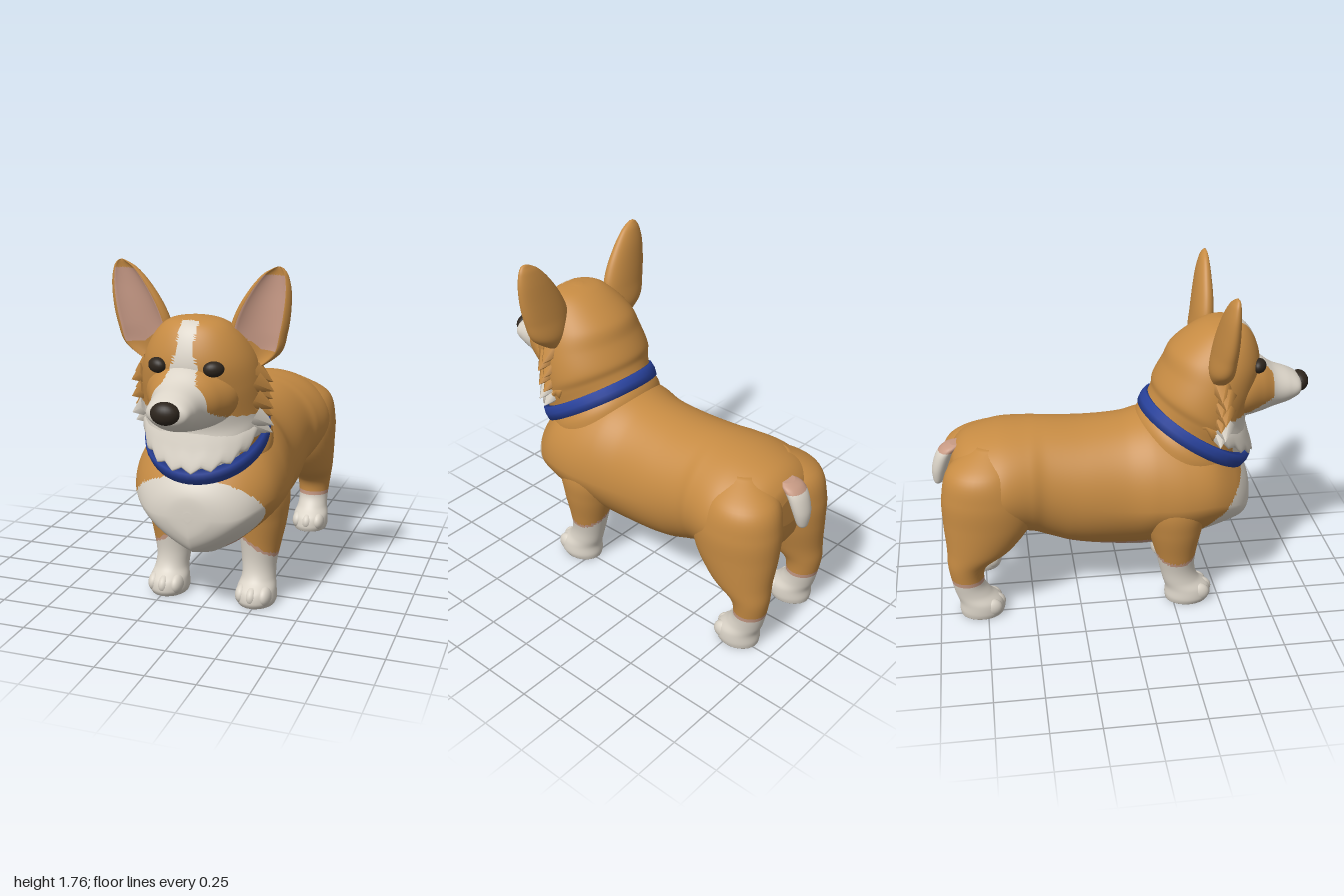
import * as THREE from 'three';

const paint = (name, color) => {
  const m = new THREE.MeshStandardMaterial({ color });
  m.name = name;
  return m;
};
const TAN = 0, WHITE = 1, PINK = 2, EAR = 3, BLUE = 4, DARK = 5;

// Smooth interpolation of one row of numbers between its neighbours
function blend(rows, i, f) {
  const at = k => rows[Math.max(0, Math.min(rows.length - 1, k))];
  const [p, a, b, n] = [at(i - 1), at(i), at(i + 1), at(i + 2)];
  return a.map((v, k) => v + 0.5 * f * (b[k] - p[k] + f * (2 * p[k] - 5 * v + 4 * b[k] - n[k]
    + f * (3 * (v - b[k]) + n[k] - p[k]))));
}

// Skin closed rings through the rows; pick(x, y, z, angle) chooses each face's colour
function loft(rows, ring, pick, seg = 48, steps = 8) {
  const pos = [], tris = [], count = (rows.length - 1) * steps + 1;
  for (let r = 0; r < count; r++) {
    const i = Math.min(Math.floor(r / steps), rows.length - 2);
    const row = blend(rows, i, r / steps - i);
    for (let j = 0; j < seg; j++) {
      const a = (j / seg) * Math.PI * 2;
      pos.push(...ring(row, Math.cos(a), Math.sin(a)));
    }
  }
  for (const r of [0, count - 1]) {
    const c = [0, 0, 0];
    for (let j = 0; j < seg; j++) for (let k = 0; k < 3; k++) c[k] += pos[(r * seg + j) * 3 + k] / seg;
    pos.push(...c);
  }
  const first = count * seg;
  for (let j = 0; j < seg; j++) {
    const k = (j + 1) % seg, last = (count - 1) * seg;
    for (let r = 0; r < count - 1; r++) {
      const o = r * seg, u = o + seg;
      tris.push([o + j, u + j, u + k, j], [o + j, u + k, o + k, j]);
    }
    tris.push([first, j, k, j], [first + 1, last + k, last + j, j]);
  }
  // Turn the faces outward whichever way the rings run
  const P = i => new THREE.Vector3().fromArray(pos, i * 3);
  const volume = tris.reduce((s, [a, b, c]) => s + P(a).dot(P(b).cross(P(c))), 0);
  const buckets = [[], [], [], [], [], []];
  for (const [a, b, c, j] of tris) {
    const m = P(a).add(P(b)).add(P(c)).divideScalar(3);
    buckets[pick(m.x, m.y, m.z, ((j + 0.5) / seg) * Math.PI * 2)].push(a, ...(volume > 0 ? [b, c] : [c, b]));
  }
  const g = new THREE.BufferGeometry();
  g.setAttribute('position', new THREE.Float32BufferAttribute(pos, 3));
  g.setIndex(buckets.flat());
  let start = 0;
  buckets.forEach((t, m) => { if (t.length) g.addGroup(start, t.length, m); start += t.length; });
  g.computeVertexNormals();
  return g;
}

// Colour rules for the coat
function chestColour(x, y, z) {
  if (z > 0.38 + Math.max(0, y - 0.35) * 0.5 + Math.max(0, y - 0.5) * 0.25) return WHITE;
  const edge = 0.295 + Math.max(0, -z - 0.15) * 0.25;
  if (z < -0.46 || y > edge + 0.05) return TAN;
  return y < edge ? WHITE : PINK;
}
function faceColour(x, y, z) {
  if (y < 0.925 - (z - 0.39) * 0.61) return chestColour(x, y, z);
  if (y < 1.06) return z > 0.5 + Math.max(0, 1 - y) * 0.45 ? WHITE : TAN;
  const blaze = 0.042 + Math.max(0, 1.38 - y) * 0.3 + Math.max(0, 1.16 - y) * 0.5;
  return z > 0.785 || (z > 0.61 && Math.abs(x) < blaze) ? WHITE : TAN;
}

export function createModel() {
  const dog = new THREE.Group();
  dog.name = 'dog';
  const mats = [
    paint('tan coat', 0xc68b43), paint('white coat', 0xdad3c7), paint('pale pink skin', 0xc79a84),
    paint('inner ear', 0xc99b87), paint('collar blue', 0x28419a), paint('dark brown', 0x2d251d),
  ];
  const add = (name, geo, mat = mats) => {
    const m = new THREE.Mesh(geo, mat);
    m.name = name;
    dog.add(m);
    return m;
  };
  const ball = (name, mat, x, y, z, rx, ry, rz) => {
    const m = add(name, new THREE.SphereGeometry(1, 24, 16), mats[mat]);
    m.position.set(x, y, z);
    m.scale.set(rx, ry, rz);
    return m;
  };

  // Torso and muzzle: upright rings of [z, top, bottom, half width]
  const upright = ([z, top, low, w], c, s) => [w * c, (top + low) / 2 + (top - low) / 2 * s, z];
  // The brisket narrows to a keel between the forelegs
  const keeled = (row, c, s) => {
    const k = 0.5 * THREE.MathUtils.clamp((row[0] + 0.3) / 0.45, 0, 1);
    return upright(row, c, s < 0 ? s * (1 - k) - k * (1 - Math.abs(c)) : s);
  };
  add('torso', loft([
    [-0.9, 0.82, 0.66, 0.12], [-0.875, 0.89, 0.54, 0.24], [-0.8, 0.95, 0.46, 0.325], [-0.65, 0.99, 0.42, 0.365],
    [-0.5, 1.0, 0.4, 0.342], [-0.4, 1.0, 0.355, 0.322], [-0.2, 0.99, 0.28, 0.335], [0, 1.0, 0.225, 0.345],
    [0.15, 1.03, 0.205, 0.375], [0.3, 1.01, 0.23, 0.39], [0.45, 0.96, 0.282, 0.37], [0.57, 0.84, 0.33, 0.305],
    [0.645, 0.735, 0.365, 0.22], [0.683, 0.66, 0.435, 0.12], [0.691, 0.58, 0.53, 0.02],
  ], keeled, chestColour, 84, 14));
  add('muzzle', loft([
    [0.5, 1.3, 1.0, 0.24], [0.62, 1.32, 0.99, 0.228], [0.72, 1.305, 1.0, 0.178], [0.8, 1.255, 1.02, 0.132],
    [0.88, 1.225, 1.045, 0.115], [0.935, 1.195, 1.08, 0.098], [0.955, 1.165, 1.11, 0.05],
  ], upright, faceColour, 64, 10));
  ball('nose', DARK, 0, 1.147, 0.952, 0.07, 0.054, 0.048);

  // Neck and skull: tilted rings of [y, z, half width, half depth, tilt]
  const tilted = ([y, z, w, d, t], c, s) => [w * c, y - d * s * Math.sin(t), z + d * s * Math.cos(t)];
  add('neckAndHead', loft([
    [0.72, 0.3, 0.31, 0.3, 0.55], [0.85, 0.35, 0.315, 0.315, 0.55], [0.925, 0.39, 0.29, 0.305, 0.55],
    [1.02, 0.415, 0.305, 0.285, 0.47], [1.1, 0.415, 0.315, 0.265, 0.4], [1.23, 0.46, 0.3, 0.25, 0.25],
    [1.34, 0.49, 0.268, 0.235, 0.15], [1.44, 0.52, 0.205, 0.17, 0.08], [1.5, 0.53, 0.13, 0.1, 0],
    [1.52, 0.53, 0.02, 0.02, 0],
  ], tilted, faceColour, 72, 10));

  // White ruff with a toothed lower edge in front: the last number is the tooth size
  const ruff = ([y, z, w, d, t, jag], c, s) => {
    const tooth = Math.abs(((Math.atan2(s, c) / Math.PI + 1) * 9.5) % 1 * 2 - 1);
    const k = 1 + 0.02 * jag * tooth;
    const p = tilted([y, z, w * k, d * k * (s < 0 ? 0.6 : 1), t], c, s);
    return [p[0], p[1] - 0.025 * jag * tooth, p[2]];
  };
  add('ruff', loft([
    [1.1, 0.41, 0.27, 0.265, 0.42, 0], [1.045, 0.415, 0.312, 0.3, 0.5, 0.4], [0.995, 0.43, 0.29, 0.328, 0.6, 1],
    [0.99, 0.42, 0.23, 0.25, 0.58, 0],
  ], ruff, (x, y, z) => (z > 0.45 && y < 1.06 ? WHITE : TAN), 76, 6));

  // Collar
  const band = [[0.29, -0.038], [0.322, -0.038], [0.328, 0], [0.322, 0.038], [0.29, 0.038], [0.29, -0.038]];
  const collar = add('collar', new THREE.LatheGeometry(band.map(p => new THREE.Vector2(...p)), 48), mats[BLUE]);
  collar.position.set(0, 0.92, 0.395);
  collar.rotation.x = 0.55;
  collar.scale.set(0.96, 1, 1.03);

  // Upright leg rings: [y, x, z, half width, half depth]
  const foreleg = [
    [0, 0.24, 0.33, 0.095, 0.115], [0.03, 0.24, 0.335, 0.105, 0.125], [0.08, 0.24, 0.33, 0.1, 0.118],
    [0.13, 0.24, 0.295, 0.088, 0.098], [0.2, 0.237, 0.275, 0.09, 0.095], [0.3, 0.24, 0.265, 0.105, 0.11],
    [0.45, 0.245, 0.258, 0.13, 0.145], [0.6, 0.24, 0.255, 0.14, 0.175], [0.78, 0.2, 0.25, 0.11, 0.14],
  ];
  const hindleg = [
    [0, 0.23, -0.78, 0.095, 0.113], [0.03, 0.23, -0.778, 0.102, 0.12], [0.08, 0.23, -0.785, 0.1, 0.113],
    [0.13, 0.23, -0.82, 0.086, 0.095], [0.2, 0.23, -0.845, 0.086, 0.085], [0.3, 0.23, -0.84, 0.1, 0.105],
    [0.4, 0.22, -0.77, 0.135, 0.175], [0.55, 0.2, -0.72, 0.172, 0.235], [0.7, 0.19, -0.715, 0.185, 0.238],
    [0.84, 0.175, -0.725, 0.16, 0.185], [0.94, 0.13, -0.68, 0.06, 0.08],
  ];
  // Ear rows: [y, inner x, outer x, z, half thickness]
  const ear = [
    [1.27, 0.21, 0.29, 0.465, 0.04], [1.35, 0.165, 0.395, 0.47, 0.065], [1.45, 0.15, 0.43, 0.48, 0.063],
    [1.55, 0.185, 0.447, 0.488, 0.056], [1.65, 0.248, 0.45, 0.494, 0.043], [1.72, 0.31, 0.437, 0.5, 0.028],
    [1.752, 0.36, 0.418, 0.505, 0.015], [1.762, 0.385, 0.4, 0.505, 0.006],
  ];

  for (const [side, s] of [['left', 1], ['right', -1]]) {
    const post = ([y, x, z, w, d], c, n) => [s * (x + w * c), y, z + d * n];
    add(side + 'Foreleg', loft(foreleg, post, (x, y) => {
      const edge = 0.3 - (Math.abs(x) - 0.24) * 0.6;
      return y < edge ? WHITE : y < edge + 0.02 ? PINK : TAN;
    }, 40));
    add(side + 'Hindleg', loft(hindleg, post, (x, y) => (y < 0.2 ? WHITE : y < 0.22 ? PINK : TAN), 40));
    for (let i = -1; i <= 1; i++) {
      ball(side + 'FrontToe', WHITE, s * 0.24 + i * 0.06, 0.055, 0.405 - 0.02 * Math.abs(i), 0.036, 0.052, 0.06);
      ball(side + 'HindToe', WHITE, s * 0.23 + i * 0.06, 0.052, -0.71 - 0.02 * Math.abs(i), 0.036, 0.05, 0.057);
    }

    // Ear with a pink hollow in front
    add(side + 'Ear', loft(ear, ([y, xi, xo, z, t], c, n) => {
      const hollow = n > 0.6 ? 0.6 - 1.6 * (n - 0.6) : n;
      return [s * ((xi + xo) / 2 + (xo - xi) / 2 * c), y, z + t * hollow];
    }, (x, y, z, a) => {
      const low = 1.36 + Math.max(0, 0.3 - Math.abs(x)) * 0.7;
      return Math.sin(a) > 0.6 && y > low && y < 1.722 ? EAR : TAN;
    }));

    const eye = ball(side + 'Eye', DARK, s * 0.14, 1.303, 0.695, 0.05, 0.037, 0.035);
    eye.rotation.y = s * 0.45;

    // Cheek fur: broad tufts pointing out and down
    for (let i = 0; i < 7; i++) {
      const y = 1.25 - 0.042 * i;
      const cone = new THREE.ConeGeometry(0.06, 0.1, 6).translate(0, 0.05, 0);
      const tuft = add(side + 'CheekTuft', cone, mats[y < 1.07 ? WHITE : TAN]);
      tuft.position.set(s * (0.268 + 0.012 * (i % 2)), y, 0.47 + 0.02 * (i % 2));
      tuft.quaternion.setFromUnitVectors(new THREE.Vector3(0, 1, 0), new THREE.Vector3(s, -0.5, -0.1).normalize());
    }
  }

  // Short tail
  add('tail', loft([
    [0.67, 0, -0.972, 0.012, 0.01], [0.69, 0, -0.968, 0.035, 0.026], [0.76, 0, -0.958, 0.056, 0.04],
    [0.84, 0, -0.93, 0.066, 0.045], [0.885, 0, -0.895, 0.064, 0.045], [0.905, 0, -0.865, 0.04, 0.03],
  ], ([y, x, z, w, d], c, n) => [x + w * c, y, z + d * n], (x, y, z) => (y > 0.865 ? PINK : WHITE), 24));

  return dog;
}
